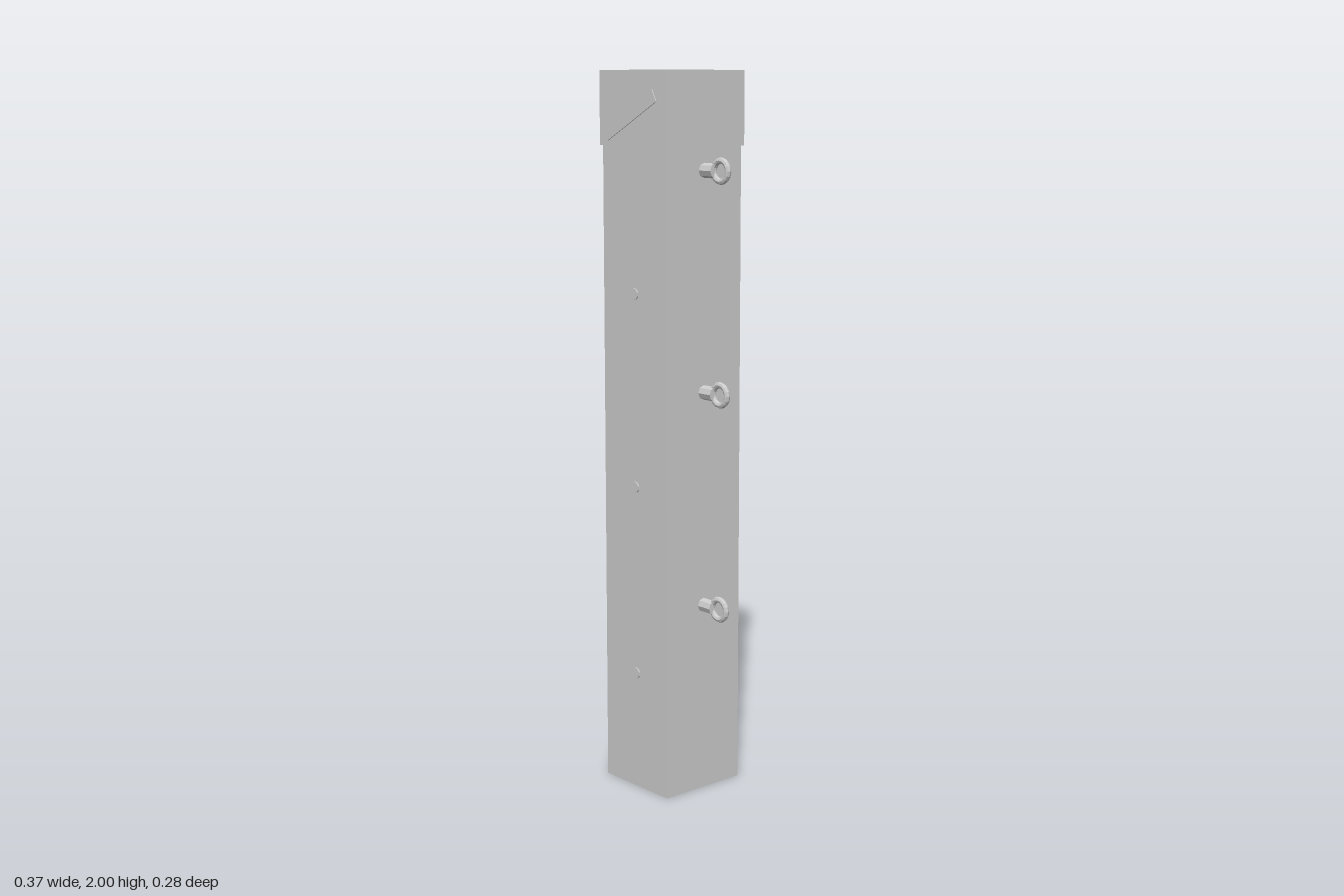
import * as THREE from 'three';

export function createModel() {
  const group = new THREE.Group();
  const gray = new THREE.MeshStandardMaterial({ color: 0xcccccc });
  gray.name = 'light gray';
  gray.flatShading = true;
  const CX = -0.05, CZ = -0.003;

  function add(name, geometry, x, y, z, parent = group) {
    const mesh = new THREE.Mesh(geometry, gray);
    mesh.name = name;
    mesh.position.set(x, y, z);
    parent.add(mesh);
    return mesh;
  }

  // Square post with a slightly wider cap
  add('post', new THREE.BoxGeometry(0.262, 1.8, 0.268), CX, 0.9, CZ);
  add('cap', new THREE.BoxGeometry(0.274, 0.2, 0.28), CX, 1.9, CZ);

  // Tilted thin plate on the front of the cap
  const plate = add('capPlate', new THREE.BoxGeometry(0.225, 0.037, 0.006), -0.0585, 1.882, 0.137);
  plate.rotation.z = 0.482;

  // Small round studs down the front of the post
  for (const y of [0.335, 0.87, 1.405]) {
    const stud = add('frontStud', new THREE.CylinderGeometry(0.016, 0.016, 0.008, 10), CX, y, 0.131);
    stud.rotation.x = Math.PI / 2;
  }

  // Eye bolts on the left side
  for (const y of [0.537, 1.137, 1.737]) {
    const bolt = new THREE.Group();
    bolt.name = 'eyeBolt';
    bolt.position.set(0, y, CZ);
    group.add(bolt);
    const shank = add('boltShank', new THREE.CylinderGeometry(0.02, 0.02, 0.06, 8), 0.097, 0, 0, bolt);
    shank.rotation.z = Math.PI / 2;
    add('boltRing', new THREE.TorusGeometry(0.028, 0.0085, 8, 16), 0.147, 0, 0, bolt);
  }

  return group;
}
